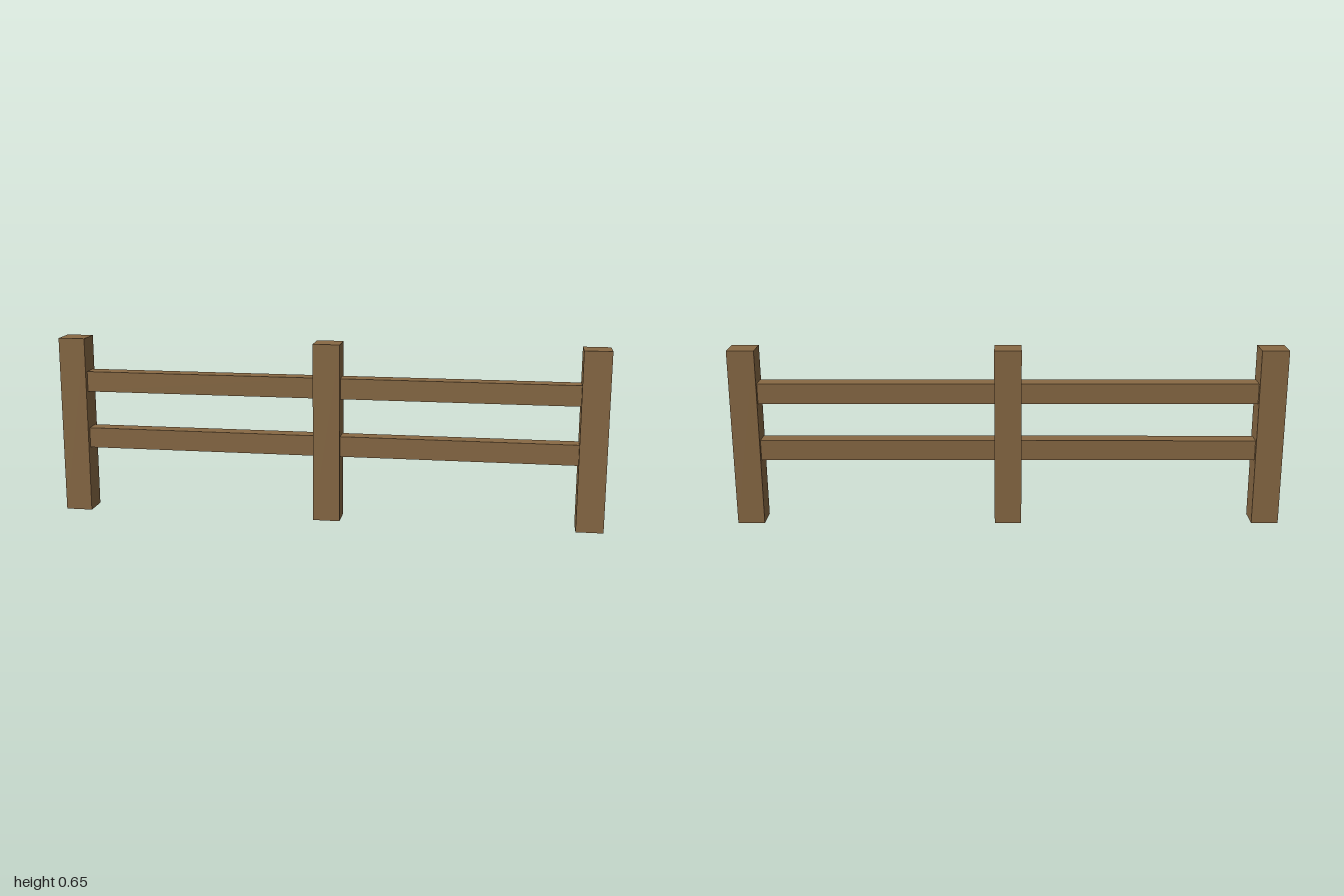
import * as THREE from 'three';

export function createModel() {
  const group = new THREE.Group();
  const wood = new THREE.MeshStandardMaterial({ color: 0x886944 });
  wood.name = 'brown wood';

  const POST = { w: 0.098, h: 0.655, d: 0.095 };
  const RAIL = { h: 0.075, d: 0.06 };

  const addBox = (name, w, h, d, x, y) => {
    const mesh = new THREE.Mesh(new THREE.BoxGeometry(w, h, d), wood);
    mesh.name = name;
    mesh.position.set(x, y, 0);
    group.add(mesh);
  };

  // Three upright posts
  const postX = 1 - POST.w / 2;
  [['rightPost', -postX], ['middlePost', 0], ['leftPost', postX]].forEach(([name, x]) =>
    addBox(name, POST.w, POST.h, POST.d, x, POST.h / 2));

  // Two rails on each side, spanning between post faces
  const railLength = postX - POST.w;
  for (const [side, sign] of [['right', -1], ['left', 1]]) {
    for (const [level, y] of [['Lower', 0.278], ['Upper', 0.492]]) {
      addBox(`${side}${level}Rail`, railLength, RAIL.h, RAIL.d, sign * postX / 2, y);
    }
  }

  return group;
}
